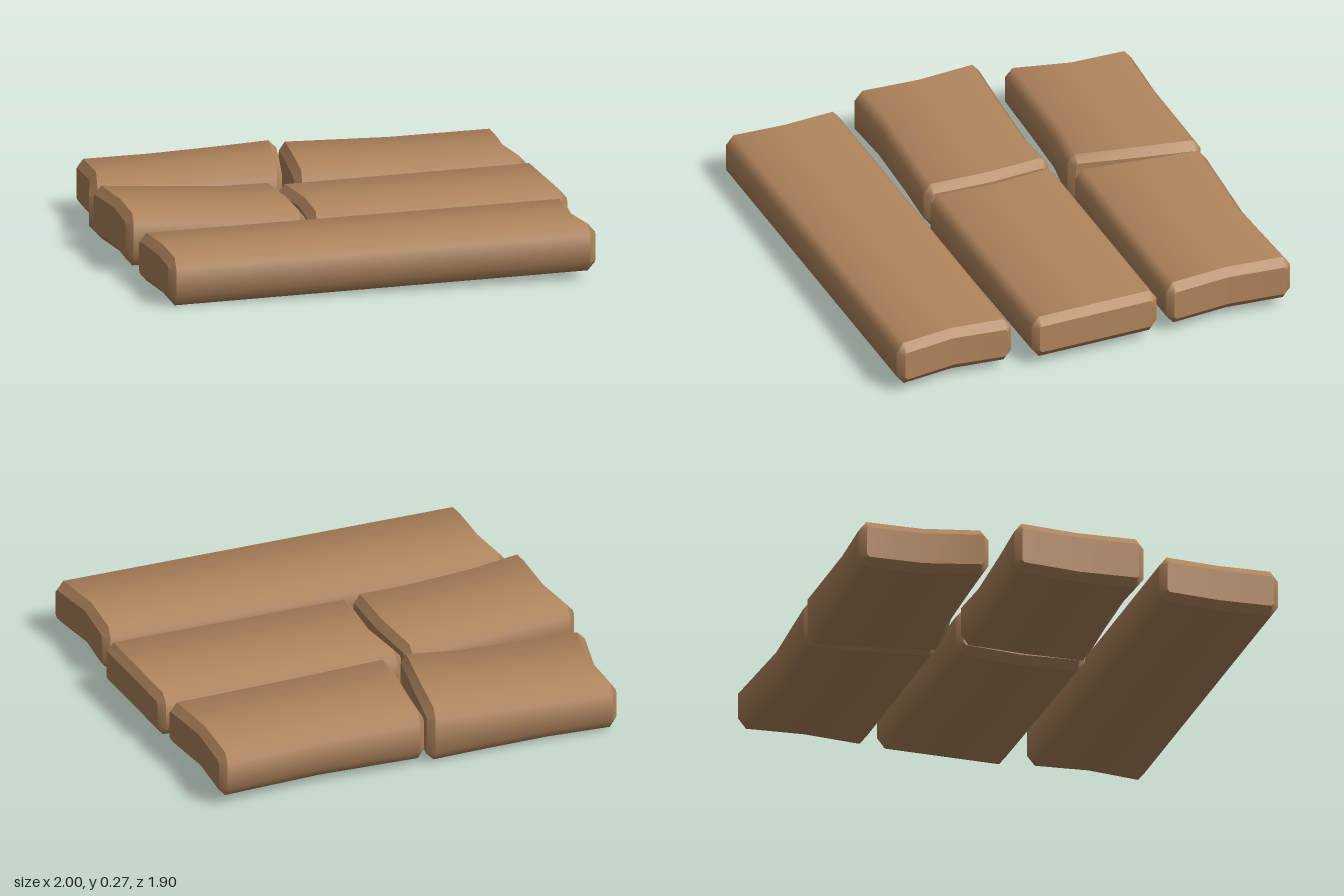
import * as THREE from 'three';

const wood = new THREE.MeshStandardMaterial({ color: 0xb0845c });
const BX = 0.03, BY = 0.045, BZ = 0.035; // bevel sizes

// Chamfered ten-sided section; xs = x at the back, middle and front
function ring(xs, [zb, zf, y0, y1], cy, cz) {
  const zm = (zb + zf) / 2;
  const pts = [
    [zb + cz, y1], [zm, y1], [zf - cz, y1], [zf, y1 - cy], [zf, y0 + cy],
    [zf - cz, y0], [zm, y0], [zb + cz, y0], [zb, y0 + cy], [zb, y1 - cy],
  ];
  return pts.map(([z, y]) => {
    const t = (z - zm) / (zf - zm);
    const x = t < 0 ? xs[1] + (xs[0] - xs[1]) * -t : xs[1] + (xs[2] - xs[1]) * t;
    return [x, y, z];
  });
}

// Rounded shading around a section
const ringNormals = [
  [-0.38, 0.92], [0, 1], [0.38, 0.92], [0.92, 0.38], [0.92, -0.38],
  [0.38, -0.92], [0, -1], [-0.38, -0.92], [-0.92, -0.38], [-0.92, 0.38],
].map(([z, y]) => [0, y, z]);

// Skin between successive rings, which run towards +x
function bridge(index, ringCount) {
  for (let i = 0; i < ringCount - 1; i++) {
    for (let k = 0; k < 10; k++) {
      const a = i * 10 + k, b = i * 10 + (k + 1) % 10;
      index.push(a, b, b + 10, a, b + 10, a + 10);
    }
  }
}

function geometry(rings, index, normals) {
  const g = new THREE.BufferGeometry();
  g.setAttribute('position', new THREE.Float32BufferAttribute(rings.flat(2), 3));
  g.setIndex(index);
  if (normals) g.setAttribute('normal', new THREE.Float32BufferAttribute(normals.flat(2), 3));
  else g.computeVertexNormals();
  return g;
}

// Bevelled end: side = 1 for the +x end, -1 for the -x end
function endCap(bodyRing, xs, [zb, zf, y0, y1], side) {
  const tip = ring(xs, [zb + BZ * 0.8, zf - BZ * 0.8, y0 + BY * 0.8, y1 - BY * 0.8], BY * 0.3, BZ * 0.3);
  const rings = side > 0 ? [bodyRing, tip] : [tip, bodyRing];
  const index = [];
  bridge(index, 2);
  // End face has its own vertices, folded along the middle
  const first = 20;
  rings.push(tip);
  for (let k = 2; k < 10; k++) {
    const a = first + k, b = first + (k + 1) % 10;
    index.push(first + 1, ...(side > 0 ? [a, b] : [b, a]));
  }
  return geometry(rings, index);
}

// left, right: end x at back, middle, front. stations: [t, zBack, zFront, yBottom, yTop]
function plank({ name, left, right, stations }) {
  const group = new THREE.Group();
  group.name = name;
  const rings = stations.map(([t, ...section]) => {
    const xs = left.map((x, i) => x + BX + (right[i] - x - 2 * BX) * t);
    return ring(xs, section, BY, BZ);
  });
  const index = [];
  bridge(index, rings.length);
  const last = rings.length - 1;
  const parts = {
    body: geometry(rings, index, rings.map(() => ringNormals)),
    leftEnd: endCap(rings[0], left, stations[0].slice(1), -1),
    rightEnd: endCap(rings[last], right, stations[last].slice(1), 1),
  };
  for (const [part, geo] of Object.entries(parts)) {
    const mesh = new THREE.Mesh(geo, wood);
    mesh.name = part;
    group.add(mesh);
  }
  return group;
}

const planks = [
  {
    name: 'frontPlank',
    left: [-0.975, -0.96, -0.975], right: [0.96, 0.93, 0.96],
    stations: [[0, 0.4, 0.945, 0, 0.215], [1, 0.4, 0.945, 0.04, 0.25]],
  },
  {
    name: 'middleLeftPlank',
    left: [-1, -0.98, -1], right: [-0.185, -0.172, -0.185],
    stations: [
      [0, -0.275, 0.32, 0.035, 0.27], [0.3, -0.268, 0.303, 0.03, 0.255],
      [0.72, -0.262, 0.31, 0.025, 0.238], [1, -0.275, 0.32, 0.02, 0.235],
    ],
  },
  {
    name: 'middleRightPlank',
    left: [-0.17, -0.145, -0.17], right: [1, 1, 1],
    stations: [[0, -0.275, 0.32, 0.005, 0.225], [1, -0.275, 0.32, 0.045, 0.25]],
  },
  {
    name: 'backLeftPlank',
    left: [-0.895, -0.905, -0.975], right: [0, -0.055, -0.115],
    stations: [
      [0, -0.955, -0.385, 0.01, 0.225], [0.35, -0.935, -0.377, 0.015, 0.235],
      [0.72, -0.928, -0.368, 0.015, 0.25], [1, -0.92, -0.335, 0.01, 0.265],
    ],
  },
  {
    name: 'backRightPlank',
    left: [0.01, -0.025, -0.065], right: [0.995, 0.968, 0.99],
    stations: [
      [0, -0.915, -0.325, 0.03, 0.255], [0.5, -0.89, -0.325, 0.035, 0.253],
      [1, -0.915, -0.325, 0.045, 0.255],
    ],
  },
];

export function createModel() {
  const model = new THREE.Group();
  model.name = 'plankFloor';
  for (const p of planks) model.add(plank(p));
  return model;
}
